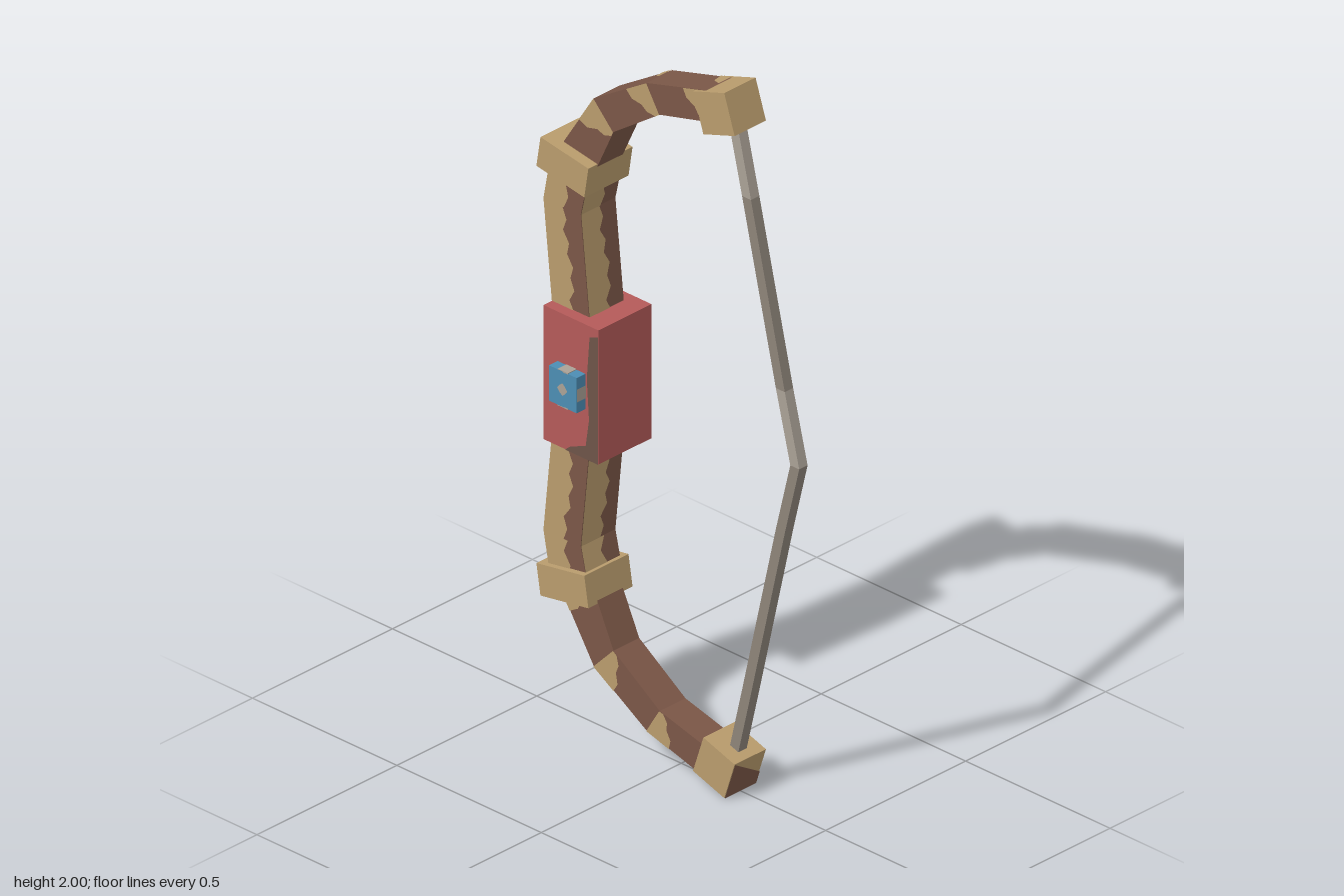
import * as THREE from 'three';

const mat = (name, color) => {
  const m = new THREE.MeshStandardMaterial({ color });
  m.name = name;
  return m;
};

export function createModel() {
  const tan = mat('paleWood', 0xb99c6d);
  const brown = mat('darkWood', 0x7b5747);
  const red = mat('redGrip', 0xb45a59);
  const shade = mat('wornGrip', 0x6e5449);
  const blue = mat('blueGem', 0x4c8db3);
  const grey = mat('paleString', 0xaaa196);
  const dark = mat('string', 0x8d8479);
  const model = new THREE.Group();
  model.name = 'bow';

  // A section is [left point, right point]; a bar joins a bottom and a top section.
  const corner = (bar, x, y, z) => {
    const p = bar[y > 0 ? 1 : 0][x > 0 ? 1 : 0];
    return new THREE.Vector3(p[0], p[1], z > 0 ? bar[2] : -bar[2]);
  };
  const flip = (s) => s.map(([x, y]) => [x, 2 - y]);
  const add = (name, geo, material) => {
    const mesh = new THREE.Mesh(geo, material);
    mesh.name = name;
    model.add(mesh);
  };

  // Box whose corners are moved onto the two sections
  function solid(name, bar, material) {
    const geo = new THREE.BoxGeometry(2, 2, 2);
    const pos = geo.attributes.position;
    for (let i = 0; i < pos.count; i++) {
      const v = corner(bar, pos.getX(i), pos.getY(i), pos.getZ(i));
      pos.setXYZ(i, v.x, v.y, v.z);
    }
    geo.computeVertexNormals();
    add(name, geo, material);
    return bar;
  }

  // Left and right vertical edges (x, z signs) of each side, seen from outside
  const SIDES = {
    front: [[-1, 1], [1, 1]], right: [[1, 1], [1, -1]],
    back: [[1, -1], [-1, -1]], left: [[-1, -1], [-1, 1]],
  };

  // Thin painted patch: a polygon in 0..1 face coordinates
  function patch(name, bar, side, points, material) {
    const [l, r] = SIDES[side];
    const c = (e, y) => corner(bar, e[0], y, e[1]);
    const [a, b, d, e] = [c(l, -1), c(r, -1), c(l, 1), c(r, 1)];
    const n = b.clone().sub(a).cross(d.clone().sub(a)).normalize().multiplyScalar(0.002);
    const geo = new THREE.ShapeGeometry(new THREE.Shape(points.map((p) => new THREE.Vector2(...p))));
    const pos = geo.attributes.position;
    for (let i = 0; i < pos.count; i++) {
      const u = pos.getX(i), v = pos.getY(i);
      const p = a.clone().lerp(b, u).lerp(d.clone().lerp(e, u), v).add(n);
      pos.setXYZ(i, p.x, p.y, p.z);
    }
    geo.computeVertexNormals();
    add(name, geo, material);
  }

  const rect = (x0, y0, x1, y1) => [[x0, y0], [x1, y0], [x1, y1], [x0, y1]];

  // Sections of a block turned in the front plane
  function block(cx, cy, w, h, depth, angle = 0) {
    const c = Math.cos(angle), s = Math.sin(angle);
    const p = (x, y) => [cx + x * c - y * s, cy + x * s + y * c];
    return [[p(-w / 2, -h / 2), p(w / 2, -h / 2)], [p(-w / 2, h / 2), p(w / 2, h / 2)], depth];
  }

  const innerLimb = [
    [[-0.382, 1.15], [-0.255, 1.15]],
    [[-0.415, 1.47], [-0.288, 1.47]],
    [[-0.396, 1.57], [-0.265, 1.57]],
  ];
  const outerLimb = [
    [[-0.39, 1.6], [-0.265, 1.575]],
    [[-0.258, 1.805], [-0.19, 1.735]],
    [[-0.075, 1.918], [-0.03, 1.845]],
    [[0.13, 1.975], [0.145, 1.89]],
  ];
  const string = [
    [[0.392, 1], [0.423, 1]],
    [[0.342, 1.2], [0.373, 1.2]],
    [[0.225, 1.7], [0.256, 1.7]],
    [[0.172, 1.92], [0.203, 1.92]],
  ];

  // Ragged edge between pale and dark wood
  const ragged = [0.55, 0.62, 0.5, 0.66, 0.58, 0.68, 0.54, 0.62, 0.48, 0.6, 0.52];
  const raggedStrip = (steps) => {
    const edge = [];
    for (let i = 0; i <= steps; i++) edge.push([ragged[i], i / steps]);
    return [[0, 0], ...edge, [0, 1]];
  };
  const endPatch = [[0, 0.62], [0.3, 0.64], [0.55, 0.76], [0.8, 0.8], [1, 0.92], [1, 1], [0, 1]];
  const cornerPatch = [[0, 0.82], [0.35, 0.86], [0.5, 1], [0, 1]];

  for (const upper of [true, false]) {
    const tag = upper ? 'upper' : 'lower';
    const bar = (list, k, depth) => upper
      ? [list[k], list[k + 1], depth]
      : [flip(list[k + 1]), flip(list[k]), depth];

    // Thick limb beside the grip, pale on the left of every side
    for (let k = 0; k < 2; k++) {
      const b = solid(tag + 'InnerLimb', bar(innerLimb, k, 0.062), brown);
      for (const side in SIDES) patch(tag + 'PaleGrain', b, side, raggedStrip(k ? 3 : 10), tan);
    }

    // Curved limb with pale patches at the joints
    for (let k = 0; k < 3; k++) {
      const b = solid(tag + 'OuterLimb', bar(outerLimb, k, 0.046), brown);
      patch(tag + 'PalePatch', b, 'front', endPatch, tan);
      patch(tag + 'PalePatch', b, 'back', endPatch, tan);
      patch(tag + 'PalePatch', b, 'left', cornerPatch, tan);
    }

    // Binding and tip blocks
    const s = upper ? 1 : -1;
    solid(tag + 'Binding', block(-0.335, 1 + s * 0.593, 0.168, 0.088, 0.079, -s * 0.16), tan);
    const tip = solid(tag + 'Tip', block(0.167, 1 + s * 0.927, 0.114, 0.114, 0.056, s * 0.32), tan);
    if (!upper) patch('tipStain', tip, 'right', [[0, 0], [1, 0], [1, 0.35], [0, 1]], brown);

    // Drawn string
    for (let k = 0; k < 3; k++) {
      solid(tag + 'String', bar(string, k, 0.015), upper && k !== 1 ? grey : dark);
    }
  }

  // Grip with worn edges
  const grip = solid('grip', block(-0.29, 1, 0.19, 0.38, 0.095), red);
  const worn = [[0.4, 0], [1, 0], [1, 0.95], [0.85, 0.92], [0.8, 0.6], [0.84, 0.3], [0.78, 0.1], [0.5, 0.04]];
  for (const side of ['front', 'back']) patch('wornEdge', grip, side, worn, shade);

  // Gem running through the grip
  const gem = solid('gem', block(-0.288, 1, 0.096, 0.1, 0.126), blue);
  const spot = [[0.5, 0.32], [0.6, 0.4], [0.68, 0.5], [0.6, 0.6], [0.5, 0.68], [0.4, 0.6], [0.32, 0.5], [0.4, 0.4]];
  for (const side of ['front', 'back']) patch('gemSpot', gem, side, spot, grey);
  for (const side of ['left', 'right']) patch('gemStripe', gem, side, rect(0, 0.32, 1, 0.68), grey);
  for (const y of [0.95, 1.05]) {
    const stripe = new THREE.BoxGeometry(0.035, 0.004, 0.252);
    stripe.translate(-0.288, y, 0);
    add('gemStripe', stripe, grey);
  }

  return model;
}
